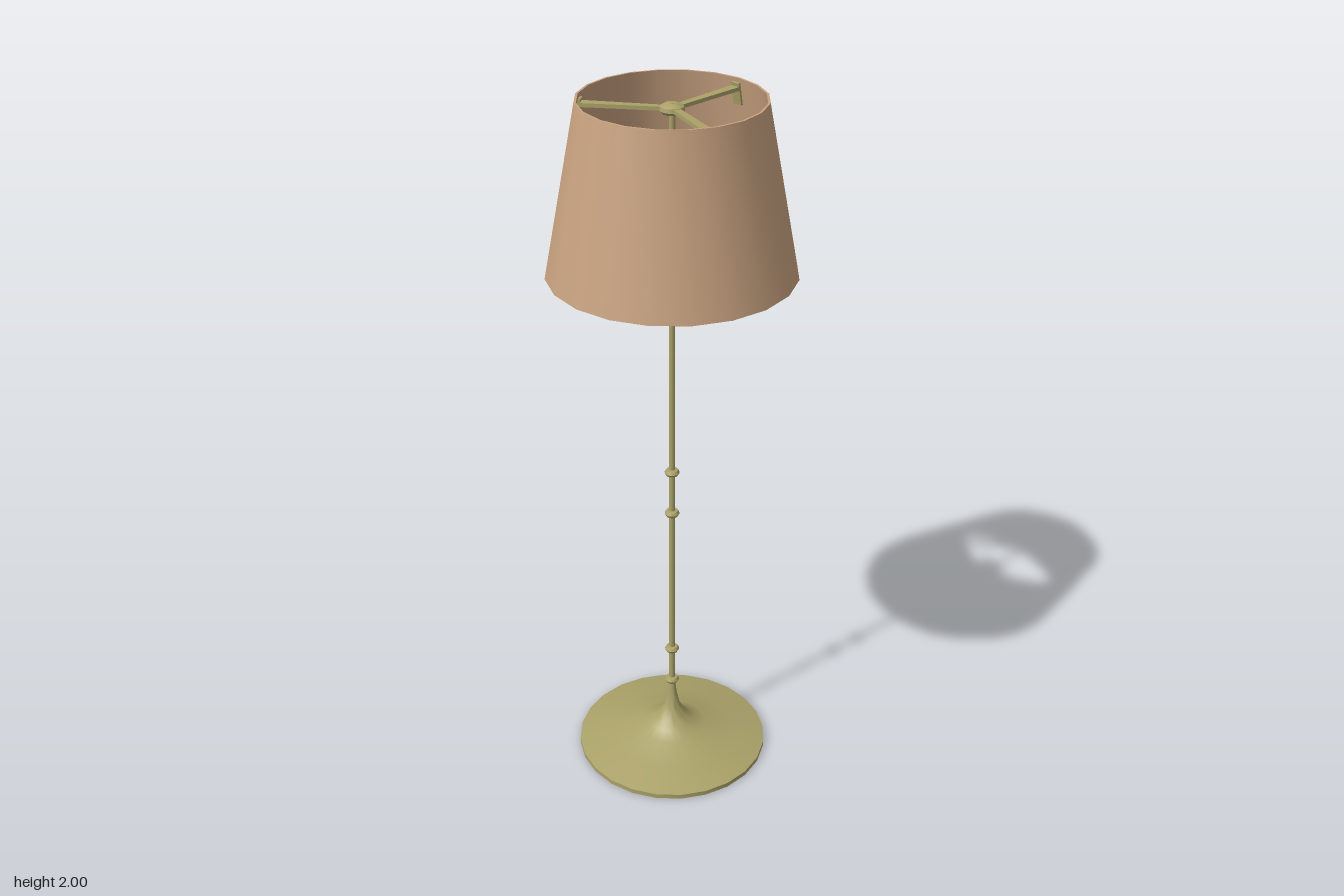
import * as THREE from 'three';
import { toCreasedNormals } from 'three/addons/utils/BufferGeometryUtils.js';

const metal = new THREE.MeshStandardMaterial({ color: 0xaaa168 });
const fabric = new THREE.MeshStandardMaterial({ color: 0xc8a280, side: THREE.DoubleSide });

function add(parent, name, geometry, material = metal) {
  const mesh = new THREE.Mesh(geometry, material);
  mesh.name = name;
  parent.add(mesh);
  return mesh;
}

// Turned part from [radius, height] pairs, with sharp edges kept
function turned(profile, sides) {
  const points = profile.map(([r, y]) => new THREE.Vector2(r, y));
  return toCreasedNormals(new THREE.LatheGeometry(points, sides), 0.7);
}

export function createModel() {
  const lamp = new THREE.Group();
  lamp.name = 'floorLamp';

  // Trumpet-shaped foot
  add(lamp, 'base', turned([
    [0, 0], [0.28, 0], [0.28, 0.014], [0.19, 0.036], [0.1, 0.056], [0.066, 0.073],
    [0.04, 0.098], [0.023, 0.13], [0.014, 0.17], [0.009, 0.215],
  ], 24));

  // Pole with rounded collars
  const pole = add(lamp, 'pole', new THREE.CylinderGeometry(0.008, 0.009, 1.79, 12));
  pole.position.y = 1.095;
  for (const y of [0.222, 0.336, 0.81, 0.943, 1.415, 1.537]) {
    const collar = add(lamp, 'collar', turned([
      [0.008, -0.01], [0.017, -0.008], [0.021, 0], [0.017, 0.008], [0.008, 0.01],
    ], 12));
    collar.position.y = y;
  }

  // Holder under the shade frame, with four small bent prongs
  const holder = new THREE.Group();
  holder.name = 'holder';
  holder.position.y = 1.72;
  lamp.add(holder);
  add(holder, 'holderCup', turned([
    [0, -0.02], [0.014, -0.02], [0.034, -0.006], [0.046, 0.008], [0.03, 0.012], [0, 0.014],
  ], 16));
  for (let i = 0; i < 4; i++) {
    const path = new THREE.CatmullRomCurve3([
      new THREE.Vector3(0.03, 0, 0.004),
      new THREE.Vector3(0.055, 0.004, -0.002),
      new THREE.Vector3(0.084, 0.008, -0.012),
    ]);
    const prong = add(holder, 'prong', new THREE.TubeGeometry(path, 6, 0.005, 6),
      new THREE.MeshStandardMaterial({ color: 0xaaa168, side: THREE.DoubleSide }));
    prong.rotation.y = i * Math.PI / 2;
  }

  // Hub and three tapered arms carrying the shade
  const frame = new THREE.Group();
  frame.name = 'shadeFrame';
  frame.position.y = 1.975;
  lamp.add(frame);
  add(frame, 'hub', turned([
    [0, -0.012], [0.024, -0.012], [0.032, -0.004], [0.03, 0.006], [0.018, 0.013], [0, 0.016],
  ], 16));
  const armShape = new THREE.Shape([
    new THREE.Vector2(0.02, -0.009), new THREE.Vector2(0.234, -0.013),
    new THREE.Vector2(0.234, 0.013), new THREE.Vector2(0.02, 0.009),
  ]);
  for (const degrees of [180, 55, -55]) {
    const spoke = new THREE.Group();
    spoke.name = 'spoke';
    spoke.rotation.y = THREE.MathUtils.degToRad(degrees);
    frame.add(spoke);
    const arm = add(spoke, 'arm', new THREE.ExtrudeGeometry(armShape, { depth: 0.01, bevelEnabled: false }));
    arm.rotation.x = -Math.PI / 2;
    arm.position.y = -0.005;
    const clip = add(spoke, 'clip', new THREE.BoxGeometry(0.006, 0.06, 0.026));
    clip.position.set(0.234, -0.015, 0);
    clip.rotation.z = 0.195;
  }

  // Tapered twenty-sided shade with a thin wall
  add(lamp, 'shade', turned([
    [0.322, 1.545], [0.328, 1.545], [0.24, 2], [0.234, 2], [0.322, 1.545],
  ], 20), fabric);

  return lamp;
}
